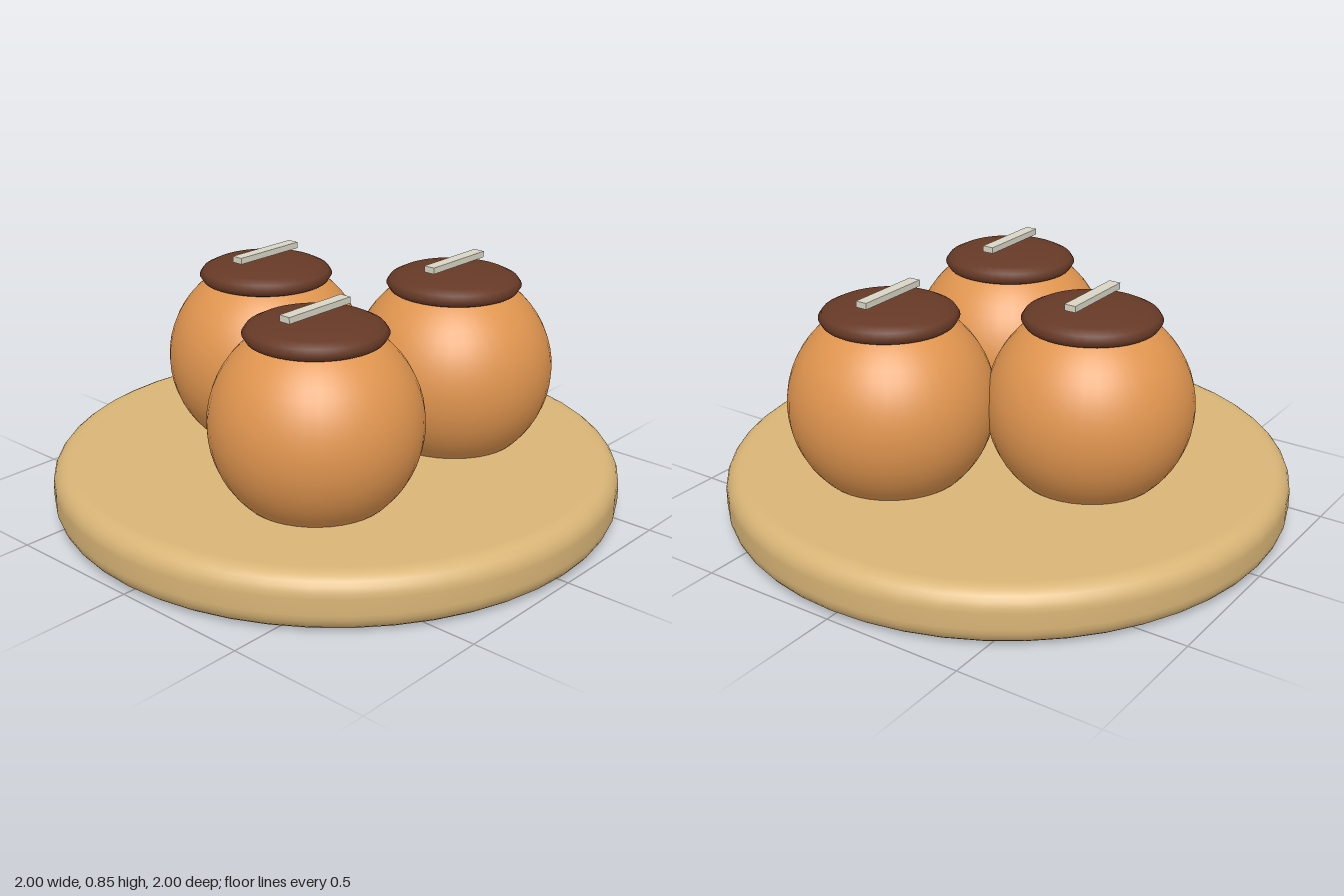
import * as THREE from 'three';

const mat = (name, color) => {
  const m = new THREE.MeshStandardMaterial({ color });
  m.name = name;
  return m;
};

const lathe = (points, segments) =>
  new THREE.LatheGeometry(points.map(([r, y]) => new THREE.Vector2(r, y)), segments);

// Disc outline with rounded rims, from bottom centre to top centre
function boardProfile(radius, height, round) {
  const points = [[0, 0], [radius - round - 0.01, 0]];
  for (const [cy, start] of [[round, -Math.PI / 2], [height - round, 0]]) {
    for (let i = 0; i <= 6; i++) {
      const a = start + (i / 6) * (Math.PI / 2);
      points.push([radius - round + round * Math.cos(a), cy + round * Math.sin(a)]);
    }
  }
  points.push([radius - round - 0.01, height], [0, height]);
  return points;
}

export function createModel() {
  const wood = mat('pale wood', 0xd8b476);
  const dough = mat('golden orange', 0xe0954f);
  const glaze = mat('dark brown', 0x663926);
  const cream = mat('off white', 0xd8d5c5);

  const model = new THREE.Group();
  const add = (parent, name, geometry, material, y = 0) => {
    const mesh = new THREE.Mesh(geometry, material);
    mesh.name = name;
    mesh.position.y = y;
    parent.add(mesh);
  };

  // Round board
  add(model, 'board', lathe(boardProfile(1, 0.195, 0.07), 48), wood);

  // Three balls, each with a flat cap and a bar floating above it
  const ballGeo = new THREE.SphereGeometry(0.356, 40, 28);
  const capGeo = lathe([
    [0, 0.738], [0.205, 0.738], [0.225, 0.746], [0.237, 0.766], [0.225, 0.784],
    [0.195, 0.799], [0.13, 0.811], [0.06, 0.816], [0, 0.817],
  ], 40);
  const barGeo = new THREE.BoxGeometry(0.284, 0.022, 0.042);
  for (const [x, z] of [[-0.357, 0.235], [0.357, 0.235], [0, -0.338]]) {
    const ball = new THREE.Group();
    ball.name = 'cappedBall';
    ball.position.set(x, 0, z);
    add(ball, 'ball', ballGeo, dough, 0.456);
    add(ball, 'cap', capGeo, glaze);
    add(ball, 'bar', barGeo, cream, 0.841);
    model.add(ball);
  }
  return model;
}
